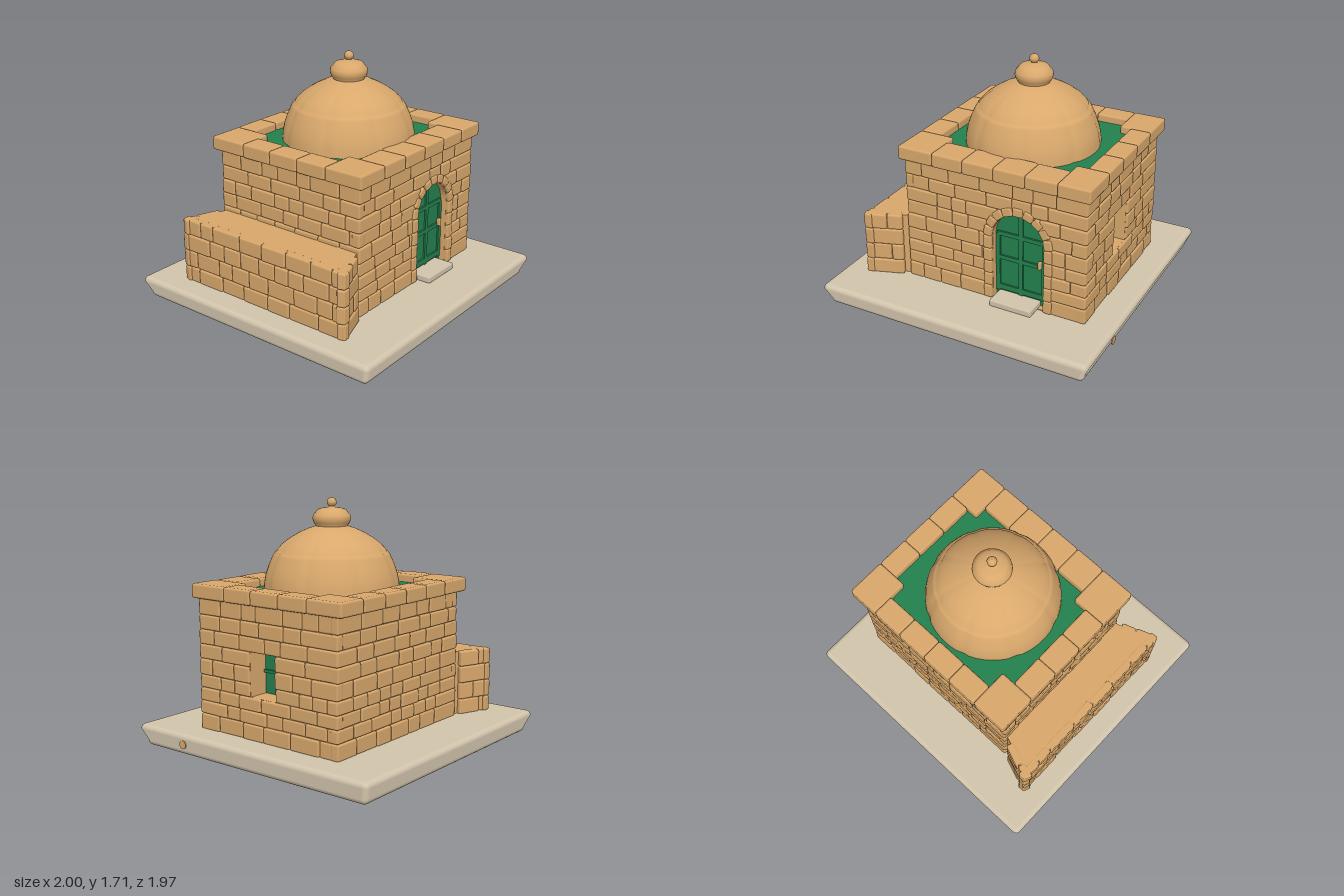
import * as THREE from 'three';
import { mergeGeometries } from 'three/addons/utils/BufferGeometryUtils.js';
import { RoundedBoxGeometry } from 'three/addons/geometries/RoundedBoxGeometry.js';

const sandstone = new THREE.MeshStandardMaterial({ color: 0xd9a86c });
sandstone.name = 'sandstone';
const green = new THREE.MeshStandardMaterial({ color: 0x23804e });
green.name = 'green paint';
const paleStone = new THREE.MeshStandardMaterial({ color: 0xd2c4ac });
paleStone.name = 'pale stone';

let seed = 7;
const rand = () => (seed = (seed * 16807) % 2147483647) / 2147483647;
const jitter = (a) => (rand() * 2 - 1) * a;

function mesh(name, geo, mat, x = 0, y = 0, z = 0) {
  const m = new THREE.Mesh(geo, mat);
  m.name = name;
  m.position.set(x, y, z);
  return m;
}

// A softly rounded stone
function block(w, h, d, x, y, z, r = 0.012, turn = 0) {
  const g = new RoundedBoxGeometry(w, h, d, 1, r);
  g.rotateZ(turn);
  return g.translate(x, y, z);
}

// Outline of an opening: rectangle, or with a round arch on top
function outline(o, Type) {
  const p = new Type(), hw = o.w / 2;
  p.moveTo(o.u - hw, o.y0);
  p.lineTo(o.u + hw, o.y0);
  if (o.arch) p.absarc(o.u, o.y1 - hw, hw, 0, Math.PI, false);
  else { p.lineTo(o.u + hw, o.y1); p.lineTo(o.u - hw, o.y1); }
  p.closePath();
  return p;
}

// Wall of stone courses in local space: u along x, outer face at z = 0
function stoneWall(name, len, ys, depth, opening) {
  const bottom = ys[0], top = ys[ys.length - 1];
  const core = outline({ u: 0, w: len - 0.03, y0: bottom, y1: top - 0.005 }, THREE.Shape);
  if (opening) core.holes.push(outline(opening, THREE.Path));
  const parts = [new THREE.ExtrudeGeometry(core, { depth, bevelEnabled: false, curveSegments: 16 })
    .translate(0, 0, -depth - 0.014)];
  for (let i = 0; i < ys.length - 1; i++) {
    const h = ys[i + 1] - ys[i], yc = ys[i] + h / 2;
    let spans = [[-len / 2, len / 2]];
    if (opening && yc > opening.y0 && yc < opening.y1) {
      let hw = opening.w / 2;
      const up = ys[i] - (opening.y1 - hw);
      if (opening.arch && up > 0) hw = Math.sqrt(hw * hw - up * up);
      spans = [[-len / 2, opening.u - hw], [opening.u + hw, len / 2]];
    }
    for (const [a, b] of spans) {
      let u = a;
      while (u < b - 0.001) {
        let w = 0.11 + rand() * 0.14;
        if (b - u - w < 0.08) w = b - u;
        parts.push(block(w - 0.002, h - 0.001, 0.06, u + w / 2, yc, -0.03 + jitter(0.005), 0.013, jitter(0.012)));
        u += w;
      }
    }
  }
  return mesh(name, mergeGeometries(parts), sandstone);
}

function place(obj, x, z, turn) {
  obj.position.set(x, 0, z);
  obj.rotation.y = turn;
  return obj;
}

export function createModel() {
  seed = 7;
  const model = new THREE.Group();
  model.name = 'domedHouse';

  // Ground slab with a tapered underside and slightly uneven sides
  const slab = new RoundedBoxGeometry(2, 0.155, 1.97, 3, 0.035).translate(0, 0.0875, 0);
  const p = slab.attributes.position;
  for (let i = 0; i < p.count; i++) {
    const k = p.getY(i) < 0.07 ? 0.965 : 1;
    p.setXYZ(i, p.getX(i) * k, p.getY(i), p.getZ(i) * k);
  }
  slab.translate(0, -0.01, 0);
  model.add(mesh('groundSlab', slab, paleStone));
  const patch = new THREE.CylinderGeometry(0.03, 0.03, 0.006, 14).rotateZ(Math.PI / 2);
  model.add(mesh('slabPatch', patch, sandstone, 0.998, 0.085, 0.55));

  // House walls
  const rows = [0.15, 0.26, 0.35, 0.44, 0.53, 0.64, 0.74, 0.84, 0.94, 1.06];
  const door = { u: 0.18, w: 0.38, y0: 0.16, y1: 0.82, arch: true };
  const win = { u: -0.03, w: 0.22, y0: 0.44, y1: 0.745 };
  model.add(place(stoneWall('frontWall', 1.34, rows, 0.14, door), 0.13, 0.575, 0));
  model.add(place(stoneWall('backWall', 1.34, rows, 0.1), 0.13, -0.615, Math.PI));
  model.add(place(stoneWall('rightWall', 1.19, rows, 0.2, win), 0.80, -0.02, Math.PI / 2));
  model.add(place(stoneWall('leftWall', 1.19, rows, 0.1), -0.54, -0.02, -Math.PI / 2));

  // Door: arched leaf with raised bars and a handle
  const doorGroup = new THREE.Group();
  doorGroup.name = 'door';
  const leaf = new THREE.ExtrudeGeometry(outline({ ...door, u: 0 }, THREE.Shape),
    { depth: 0.03, bevelEnabled: false, curveSegments: 16 });
  doorGroup.add(mesh('doorLeaf', leaf, green, 0, 0, -0.03));
  const bars = [[0.03, 0.6, 0, 0.5], [0.03, 0.43, -0.17, 0.415], [0.03, 0.43, 0.17, 0.415],
    [0.35, 0.03, 0, 0.46], [0.35, 0.03, 0, 0.64], [0.35, 0.04, 0, 0.23]];
  for (const [w, h, x, y] of bars)
    doorGroup.add(mesh('doorBar', new THREE.BoxGeometry(w, h, 0.014), green, x, y, 0.005));
  doorGroup.add(mesh('doorHandle', block(0.025, 0.06, 0.035, 0, 0, 0), sandstone, 0.145, 0.48, 0.02));
  doorGroup.position.set(0.31, 0, 0.515);
  model.add(doorGroup);

  // Stones round the door
  const surround = [];
  for (let i = 0; i < 9; i++) {
    const a = (i + 0.5) * Math.PI / 9;
    surround.push(block(0.062, 0.074, 0.07, 0.222, 0, 0).rotateZ(a).translate(0, 0.63, jitter(0.004)));
  }
  for (const s of [-1, 1])
    for (let i = 0; i < 5; i++)
      surround.push(block(0.06, 0.094, 0.07, s * 0.221, 0.205 + i * 0.095, jitter(0.004)));
  model.add(mesh('doorSurround', mergeGeometries(surround), sandstone, 0.31, 0, 0.552));
  model.add(mesh('doorStep', block(0.31, 0.05, 0.16, 0, 0, 0), paleStone, 0.30, 0.175, 0.59));

  // Window set deep in the right wall
  model.add(mesh('windowPane', new THREE.BoxGeometry(0.02, 0.32, 0.24), green, 0.63, 0.593, 0.01));
  for (const [h, d] of [[0.3, 0.02], [0.02, 0.22]])
    model.add(mesh('windowBar', new THREE.BoxGeometry(0.02, h, d), green, 0.645, 0.593, 0.01));

  // Flat roof and the parapet of coping stones
  model.add(mesh('roof', new THREE.BoxGeometry(1.24, 0.06, 1.08), green, 0.13, 1.065, -0.03));
  const coping = [];
  const run = (x0, x1, z0, z1, n, alongX) => {
    for (let i = 0; i < n; i++) {
      const dx = (x1 - x0) / (alongX ? n : 1), dz = (z1 - z0) / (alongX ? 1 : n);
      coping.push(block(dx, 0.095 + rand() * 0.008, dz,
        x0 + dx * (alongX ? i + 0.5 : 0.5), 1.1, z0 + dz * (alongX ? 0.5 : i + 0.5), 0.016));
    }
  };
  for (const [x0, x1] of [[-0.57, -0.31], [0.60, 0.83]])
    for (const [z0, z1] of [[-0.665, -0.385], [0.315, 0.61]]) run(x0, x1, z0, z1, 1, true);
  run(-0.31, 0.60, -0.665, -0.51, 4, true);
  run(-0.31, 0.60, 0.40, 0.61, 4, true);
  run(-0.57, -0.41, -0.385, 0.315, 3, false);
  run(0.68, 0.83, -0.385, 0.315, 3, false);
  model.add(mesh('parapet', mergeGeometries(coping), sandstone));

  // Dome with eight creased segments and a joint between its two courses
  const pts = [[0.462, 1.08], [0.458, 1.14], [0.446, 1.2], [0.425, 1.26], [0.396, 1.325], [0.385, 1.342],
    [0.373, 1.345], [0.366, 1.362], [0.33, 1.4], [0.28, 1.437], [0.22, 1.473], [0.16, 1.5], [0.1, 1.52], [0, 1.53]];
  const dome = new THREE.LatheGeometry(pts.map(([r, y]) => new THREE.Vector2(r, y)), 96);
  const dp = dome.attributes.position;
  for (let i = 0; i < dp.count; i++) {
    const a = Math.atan2(dp.getZ(i), dp.getX(i)) + 0.3, step = Math.PI / 4;
    const d = a - Math.round(a / step) * step;
    const k = 1 - 0.02 * Math.exp(-((d / 0.05) ** 2));
    dp.setXYZ(i, dp.getX(i) * k, dp.getY(i), dp.getZ(i) * k);
  }
  dome.computeVertexNormals();
  model.add(mesh('dome', dome, sandstone, 0.12, 0, -0.02));

  // Finial: round cap, stem and ball
  const cap = [[0.105, 1.49], [0.108, 1.52], [0.122, 1.54], [0.13, 1.565], [0.126, 1.59], [0.108, 1.61],
    [0.095, 1.628], [0.06, 1.638], [0.022, 1.642], [0.017, 1.65], [0.022, 1.652], [0.032, 1.665], [0.033, 1.678],
    [0.027, 1.695], [0.014, 1.704], [0, 1.706]];
  model.add(mesh('finial', new THREE.LatheGeometry(cap.map(([r, y]) => new THREE.Vector2(r, y)), 32),
    sandstone, 0.12, 0, -0.02));

  // Low wall along the left side, with slanting ends
  const low = [0.15, 0.26, 0.38, 0.5, 0.612];
  const lowWall = new THREE.Group();
  lowWall.name = 'lowSideWall';
  lowWall.add(place(stoneWall('lowWallFace', 1.41, low, 0.04), -0.83, -0.02, -Math.PI / 2));
  lowWall.add(place(stoneWall('lowWallFrontEnd', 0.27, low, 0.04), -0.70, 0.645, 0.33));
  lowWall.add(place(stoneWall('lowWallBackEnd', 0.27, low, 0.04), -0.70, -0.68, Math.PI - 0.36));
  const plan = new THREE.Shape([[-0.81, -0.685], [-0.52, -0.58], [-0.52, 0.55], [-0.81, 0.65]]
    .map(([x, z]) => new THREE.Vector2(x, -z)));
  const fill = new THREE.ExtrudeGeometry(plan, { depth: 0.457, bevelEnabled: false }).rotateX(-Math.PI / 2);
  lowWall.add(mesh('lowWallFill', fill, sandstone, 0, 0.152, 0));
  model.add(lowWall);

  return model;
}
